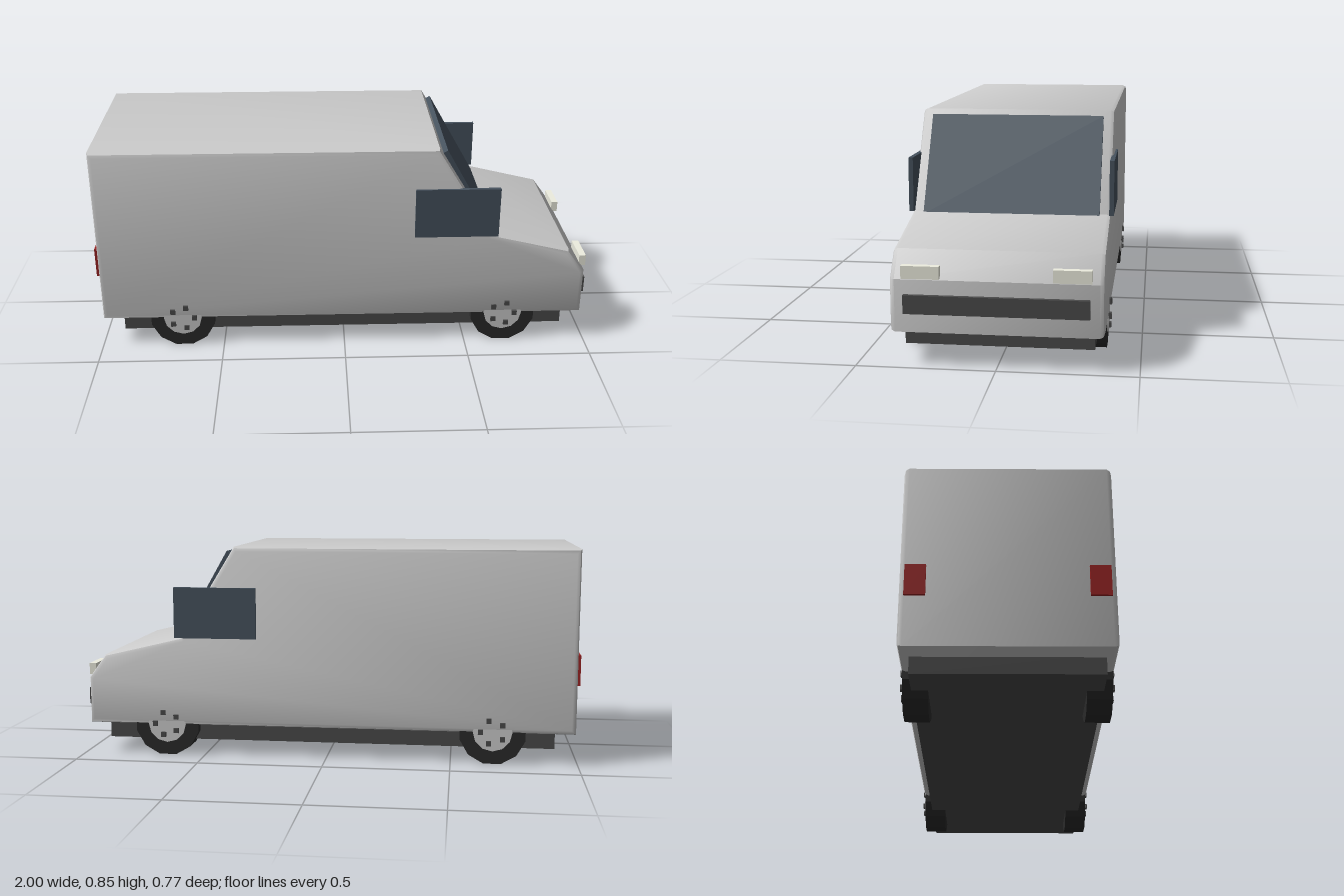
import * as THREE from 'three';
import { toCreasedNormals } from 'three/addons/utils/BufferGeometryUtils.js';

const mat = (color) => new THREE.MeshStandardMaterial({ color });

export function createModel() {
  const van = new THREE.Group();
  van.name = 'van';
  const paint = mat(0xcccccc), glass = mat(0x46525e), dark = mat(0x4a4a4a);
  const rubber = mat(0x2a2a2a), lamp = mat(0xeeeee0), red = mat(0x992222);

  const add = (name, geometry, material, x = 0, y = 0, z = 0, parent = van) => {
    const mesh = new THREE.Mesh(geometry, material);
    mesh.name = name;
    mesh.position.set(x, y, z);
    parent.add(mesh);
    return mesh;
  };
  // Box given by its limits on each axis
  const box = (name, material, [x0, x1], [y0, y1], [z0, z1]) =>
    add(name, new THREE.BoxGeometry(x1 - x0, y1 - y0, z1 - z0), material,
      (x0 + x1) / 2, (y0 + y1) / 2, (z0 + z1) / 2);

  // Body: side profile extruded across the width with softened side edges
  const profile = [[-0.99, 0.125], [0.98, 0.125], [0.98, 0.315], [0.91, 0.41],
    [0.595, 0.485], [0.37, 0.853], [-0.99, 0.853]];
  const shape = new THREE.Shape(profile.map(([x, y]) => new THREE.Vector2(x, y)));
  const bevel = 0.018, halfWidth = 0.378;
  const body = new THREE.ExtrudeGeometry(shape, {
    depth: 2 * (halfWidth - bevel), bevelThickness: bevel, bevelSize: bevel,
    bevelOffset: -bevel, bevelSegments: 2,
  });
  body.translate(0, 0, bevel - halfWidth);
  add('body', toCreasedNormals(body, 0.6), paint);

  // Underbody and front bumper
  box('chassis', dark, [-0.91, 0.905], [0.06, 0.14], [-0.34, 0.34]);
  box('bumper', dark, [0.96, 0.997], [0.195, 0.262], [-0.327, 0.327]);

  // Sloping windscreen
  const screen = add('windscreen', new THREE.BoxGeometry(0.03, 0.415, 0.668), glass, 0.495, 0.647, 0);
  screen.rotation.z = Math.atan2(0.2, 0.35);

  // Wheel parts, axis along z
  const tyre = new THREE.CylinderGeometry(0.134, 0.134, 0.092, 12).toNonIndexed();
  tyre.rotateX(Math.PI / 2).rotateZ(Math.PI / 12);
  tyre.computeVertexNormals();
  const hub = new THREE.CylinderGeometry(0.078, 0.078, 0.02, 12).rotateX(Math.PI / 2);
  const bolt = new THREE.BoxGeometry(0.02, 0.02, 0.02);

  for (const side of [1, -1]) {
    const span = (a, b) => (side > 0 ? [a, b] : [-b, -a]);
    box('sideWindow', glass, [0.28, 0.615], [0.485, 0.69], span(0.37, 0.387));
    box('headlight', lamp, [0.965, 0.992], [0.32, 0.366], span(0.198, 0.333));
    box('tailLight', red, [-1, -0.98], [0.32, 0.44], span(0.285, 0.36));

    for (const x of [-0.665, 0.655]) {
      const wheel = new THREE.Group();
      wheel.name = 'wheel';
      wheel.position.set(x, 0.13, side * 0.326);
      van.add(wheel);
      add('tyre', tyre, rubber, 0, 0, 0, wheel);
      add('hub', hub, paint, 0, 0, side * 0.041, wheel);
      for (let i = 0; i < 5; i++) {
        const a = (i / 5) * Math.PI * 2;
        add('wheelBolt', bolt, dark, 0.048 * Math.cos(a), 0.048 * Math.sin(a), side * 0.05, wheel);
      }
    }
  }
  return van;
}
